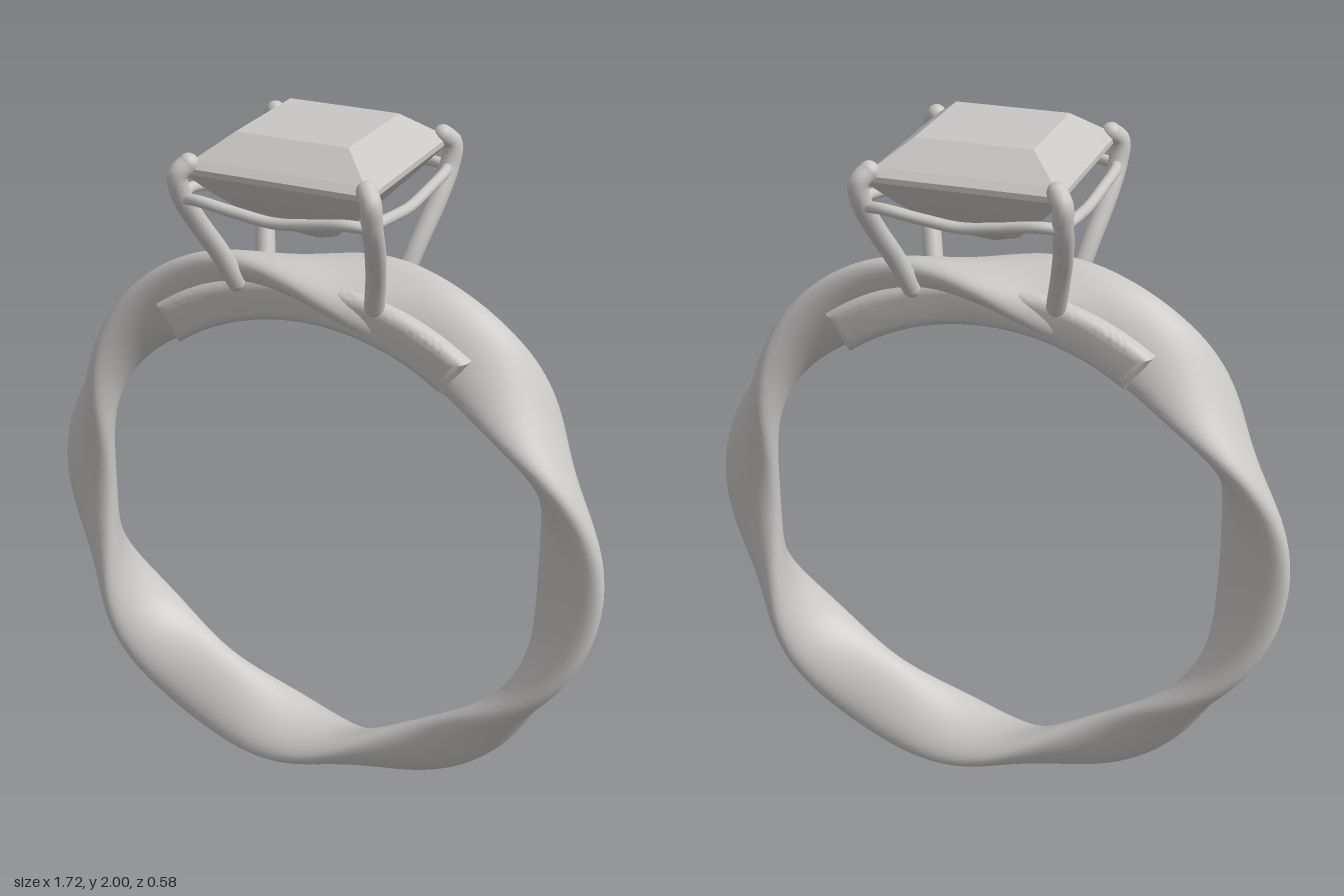
import * as THREE from 'three';
import { toCreasedNormals } from 'three/addons/utils/BufferGeometryUtils.js';

const CENTER_Y = 0.82;

// Band: an ellipse swept round a circle, rocking from side to side three times
function bandGeometry() {
  const R = 0.753, a = 0.12, b = 0.056, N = 240, M = 40;
  const pos = [], idx = [];
  for (let i = 0; i < N; i++) {
    const phi = (i / N) * Math.PI * 2;
    const tilt = Math.PI / 2 - 1.01 * Math.cos(3 * phi);
    for (let j = 0; j < M; j++) {
      const t = (j / M) * Math.PI * 2;
      const u = a * Math.cos(t), v = b * Math.sin(t);
      const r = R + u * Math.cos(tilt) - v * Math.sin(tilt);
      pos.push(r * Math.cos(phi), CENTER_Y + r * Math.sin(phi), u * Math.sin(tilt) + v * Math.cos(tilt));
      const i2 = (i + 1) % N, j2 = (j + 1) % M;
      const p = i * M + j, q = i2 * M + j, s = i2 * M + j2, w = i * M + j2;
      idx.push(p, q, s, p, s, w);
    }
  }
  const g = new THREE.BufferGeometry();
  g.setAttribute('position', new THREE.Float32BufferAttribute(pos, 3));
  g.setIndex(idx);
  g.computeVertexNormals();
  return g;
}

// Curved bar set into the top of the band
function bridgeGeometry() {
  const bevel = 0.03, from = Math.PI * 0.31, to = Math.PI * 0.69;
  const shape = new THREE.Shape();
  shape.absarc(0, 0, 0.775 - bevel, from, to, false);
  shape.absarc(0, 0, 0.65 + bevel, to, from, true);
  const g = new THREE.ExtrudeGeometry(shape, {
    depth: 0.13, bevelThickness: bevel, bevelSize: bevel, bevelSegments: 5, curveSegments: 40,
  });
  g.translate(0, CENTER_Y, -0.065);
  return toCreasedNormals(g, 0.7);
}

// Square-cut stone: stacked square sections from point to table
function stoneGeometry() {
  const profile = [[0, 1.687], [0.1, 1.742], [0.2, 1.842], [0.255, 1.905], [0.255, 1.92], [0.236, 1.938], [0.156, 2], [0, 2]];
  const g = new THREE.LatheGeometry(
    profile.map(([h, y]) => new THREE.Vector2(h * Math.SQRT2, y)), 4, Math.PI / 4
  ).toNonIndexed();
  g.computeVertexNormals();
  return g;
}

export function createModel() {
  const metal = new THREE.MeshStandardMaterial({ color: 0xc8c7c4 });
  metal.name = 'silver grey';
  const model = new THREE.Group();
  model.name = 'ring';

  const add = (name, geometry, parent = model) => {
    const mesh = new THREE.Mesh(geometry, metal);
    mesh.name = name;
    parent.add(mesh);
    return mesh;
  };
  const tube = (points, radius) => new THREE.TubeGeometry(
    new THREE.CatmullRomCurve3(points.map((p) => new THREE.Vector3(...p))), 40, radius, 14);

  add('band', bandGeometry());
  add('bridge', bridgeGeometry());
  add('stone', stoneGeometry());

  // Four claws, curling over the stone's corners
  const claw = [[0.2, 1.56, 0.085], [0.225, 1.66, 0.135], [0.25, 1.76, 0.2], [0.264, 1.85, 0.255], [0.265, 1.905, 0.265], [0.245, 1.93, 0.245]];
  for (const sx of [-1, 1]) for (const sz of [-1, 1]) {
    const group = new THREE.Group();
    group.name = 'claw';
    model.add(group);
    const points = claw.map(([x, y, z]) => [x * sx, y, z * sz]);
    add('clawWire', tube(points, 0.027), group);
    for (const end of [points[0], points[points.length - 1]])
      add('clawTip', new THREE.SphereGeometry(0.027, 16, 12), group).position.set(...end);
  }

  // Sagging gallery wires between the claws
  const wire = [[-0.26, 1.84, 0.255], [-0.2, 1.845, 0.272], [-0.1, 1.828, 0.266], [0, 1.815, 0.26],
    [0.1, 1.828, 0.266], [0.2, 1.845, 0.272], [0.26, 1.84, 0.255]];
  const wireGeometry = tube(wire, 0.015);
  for (let k = 0; k < 4; k++)
    add('galleryWire', wireGeometry).rotation.y = (k * Math.PI) / 2;

  return model;
}
